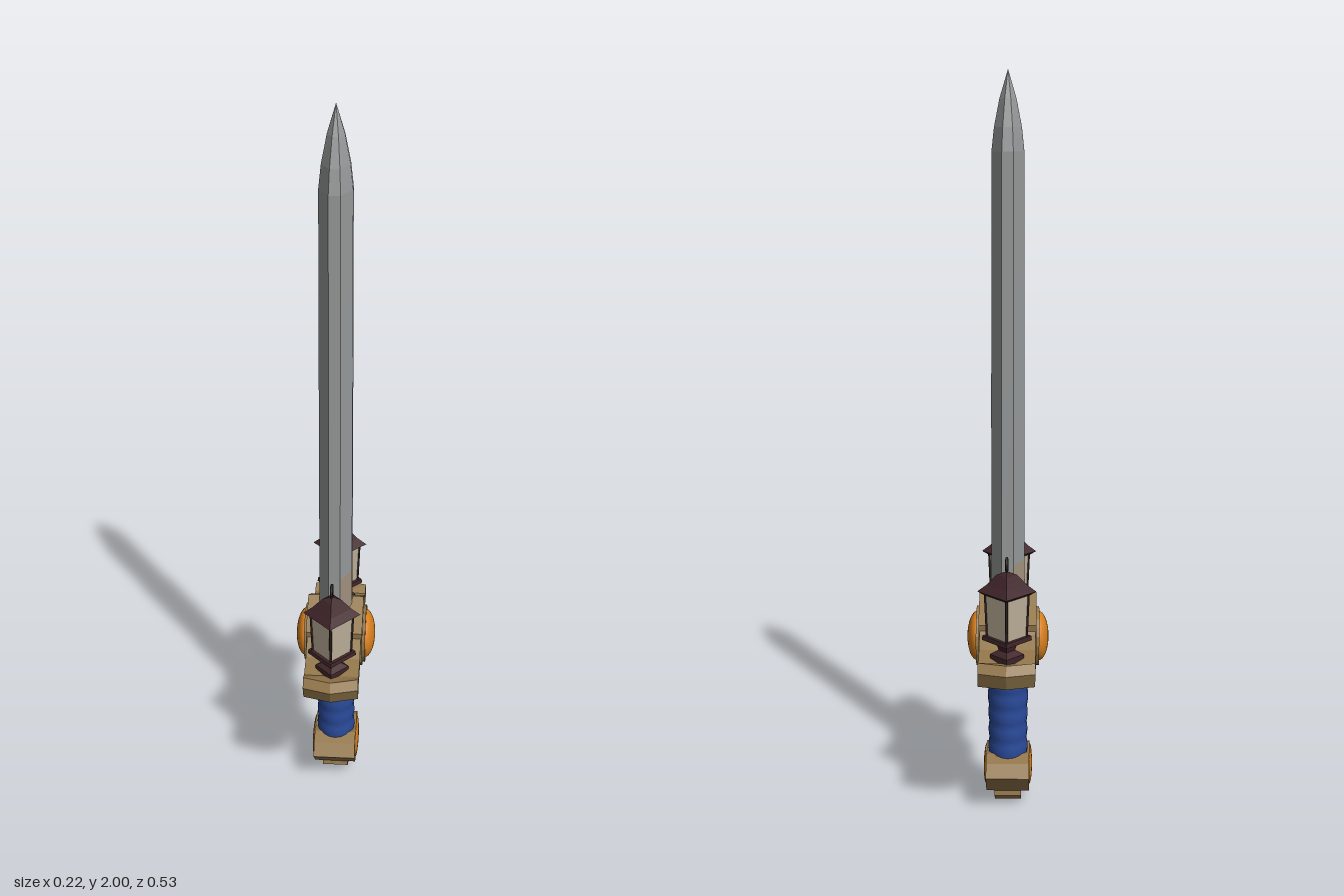
import * as THREE from 'three';

const mat = (name, color, flatShading = false) => {
  const m = new THREE.MeshStandardMaterial({ color, flatShading });
  m.name = name;
  return m;
};

export function createModel() {
  const steel = mat('steel', 0x989b9b, true);
  const tan = mat('tan', 0xa3937f, true);
  const brass = mat('brass', 0x92764a, true);
  const orange = mat('orange', 0xd8801f);
  const blue = mat('blue', 0x2a4a9a);
  const maroon = mat('maroon', 0x3f2428, true);
  const iron = mat('iron', 0x2a1e1e);
  const cream = mat('cream', 0xbcad98, true);

  const sword = new THREE.Group();
  sword.name = 'sword';
  const add = (name, geometry, material, parent = sword) => {
    const mesh = new THREE.Mesh(geometry, material);
    mesh.name = name;
    parent.add(mesh);
    return mesh;
  };
  const lathe = (points, sides) =>
    new THREE.LatheGeometry(points.map(([r, y]) => new THREE.Vector2(r, y)), sides);

  // Profile of [z, y] points for z >= 0, mirrored and extruded across x
  const slab = (half, halfWidth) => {
    const mirrored = half.filter(p => p[0] > 0).reverse().map(([z, y]) => [-z, y]);
    const shape = new THREE.Shape([...half, ...mirrored].map(([z, y]) => new THREE.Vector2(z, y)));
    const g = new THREE.ExtrudeGeometry(shape, { depth: halfWidth * 2, steps: 2, bevelEnabled: false });
    return g.translate(0, 0, -halfWidth).rotateY(-Math.PI / 2);
  };

  // Blade: octagonal section scaled ring by ring, with a flared foot
  const section = [[0.043, -0.015], [0.043, 0.015], [0.015, 0.068], [-0.015, 0.068],
    [-0.043, 0.015], [-0.043, -0.015], [-0.015, -0.068], [0.015, -0.068]];
  const rings = [[0.53, 1.25, 1.28], [0.56, 1.25, 1.28], [0.585, 1.08, 1.06], [0.72, 1.05, 1.02],
    [1.2, 1.02, 0.98], [1.8, 0.97, 0.9], [1.86, 0.82, 0.73], [1.93, 0.5, 0.42], [2, 0.01, 0.01]];
  const bladeFaces = pick => {
    const pos = [];
    const at = (i, j) => {
      const [y, sx, sz] = rings[i], [x, z] = section[j % 8];
      return [x * sx, y, z * sz];
    };
    for (let i = 0; i < rings.length - 1; i++) {
      for (let j = 0; j < 8; j++) {
        if (!pick(i, j)) continue;
        const a = at(i, j), b = at(i, j + 1), c = at(i + 1, j), d = at(i + 1, j + 1);
        pos.push(...a, ...c, ...b, ...b, ...c, ...d);
      }
    }
    const g = new THREE.BufferGeometry();
    g.setAttribute('position', new THREE.Float32BufferAttribute(pos, 3));
    g.computeVertexNormals();
    return g;
  };
  const isPatch = (i, j) => i === 2 && (j === 1 || j === 5);
  add('blade', bladeFaces((i, j) => !isPatch(i, j)), steel);
  add('bladePatch', bladeFaces(isPatch), tan);

  // Crossguard: wings whose ends come to a chevron at x = 0
  const wings = slab([[0, 0.45], [0.07, 0.452], [0.12, 0.47], [0.2, 0.465], [0.228, 0.44],
    [0.245, 0.482], [0.228, 0.506], [0.2, 0.493], [0.14, 0.508], [0.1, 0.535], [0.08, 0.56], [0, 0.56]], 0.075);
  const p = wings.attributes.position;
  for (let i = 0; i < p.count; i++) {
    const z = p.getZ(i);
    if (Math.abs(z) > 0.21 && Math.abs(p.getX(i)) < 0.01) p.setZ(i, z + Math.sign(z) * 0.02);
  }
  wings.computeVertexNormals();
  add('guardWings', wings, brass);
  add('guardCentre', slab([[0, 0.4], [0.045, 0.415], [0.08, 0.45], [0.09, 0.5],
    [0.095, 0.56], [0.045, 0.592], [0, 0.622]], 0.078), brass);

  // Round gems on both faces of the guard and the pommel
  const dome = new THREE.SphereGeometry(1, 24, 8, 0, Math.PI * 2, 0, Math.PI / 2);
  for (const side of [1, -1]) {
    const seat = add('gemSeat', new THREE.CylinderGeometry(0.08, 0.082, 0.012, 20), brass);
    seat.rotation.z = Math.PI / 2;
    seat.position.set(side * 0.08, 0.495, 0);
    const gem = (name, x, y, bulge, ry, rz) => {
      const mesh = add(name, dome, orange);
      mesh.rotation.z = -side * Math.PI / 2;
      mesh.scale.set(ry, bulge, rz);
      mesh.position.set(side * x, y, 0);
    };
    gem('guardGem', 0.084, 0.495, 0.028, 0.068, 0.07);
    gem('pommelGem', 0.06, 0.112, 0.008, 0.052, 0.074);
  }

  // Grip: waisted, with wrapped ridges
  const gripPoints = [];
  for (let i = 0; i <= 30; i++) {
    const t = i / 30;
    const waist = 0.049 + 0.012 * t * t + 0.004 * (1 - t) ** 2;
    gripPoints.push([waist + 0.0025 * Math.abs(Math.sin(t * Math.PI * 6)), 0.145 + 0.29 * t]);
  }
  add('grip', lathe(gripPoints, 20), blue).scale.z = 1.08;

  // Pommel and its small foot
  add('pommel', slab([[0, 0.045], [0.04, 0.047], [0.1, 0.112], [0.075, 0.145], [0.04, 0.16], [0, 0.15]], 0.06), brass);
  add('pommelFoot', slab([[0, 0.001], [0.038, 0.03], [0.034, 0.048], [0, 0.05]], 0.037), brass);

  // Lanterns standing on each wing, corners pointing along x and z
  for (const side of [1, -1]) {
    const lantern = new THREE.Group();
    lantern.name = 'lantern';
    lantern.position.z = side * 0.175;
    sword.add(lantern);
    add('lanternFoot', lathe([[0, 0.49], [0.045, 0.492], [0.045, 0.51], [0.022, 0.522], [0.028, 0.542],
      [0.066, 0.55], [0.064, 0.562], [0, 0.563]], 4), maroon, lantern);
    add('lanternGlass', new THREE.CylinderGeometry(0.057, 0.052, 0.12, 4).translate(0, 0.621, 0), cream, lantern);
    add('lanternRoof', lathe([[0, 0.675], [0.062, 0.675], [0.077, 0.684], [0.052, 0.703],
      [0.026, 0.73], [0, 0.74]], 4), maroon, lantern);
    for (let k = 0; k < 4; k++) {
      const a = k * Math.PI / 2;
      const post = new THREE.LineCurve3(new THREE.Vector3(Math.sin(a) * 0.052, 0.56, Math.cos(a) * 0.052),
        new THREE.Vector3(Math.sin(a) * 0.057, 0.68, Math.cos(a) * 0.057));
      add('lanternPost', new THREE.TubeGeometry(post, 1, 0.0035, 6), iron, lantern);
    }
    const ring = add('lanternRing', new THREE.TorusGeometry(0.016, 0.004, 8, 20), iron, lantern);
    ring.rotation.y = Math.PI / 2;
    ring.position.y = 0.757;
  }
  return sword;
}
